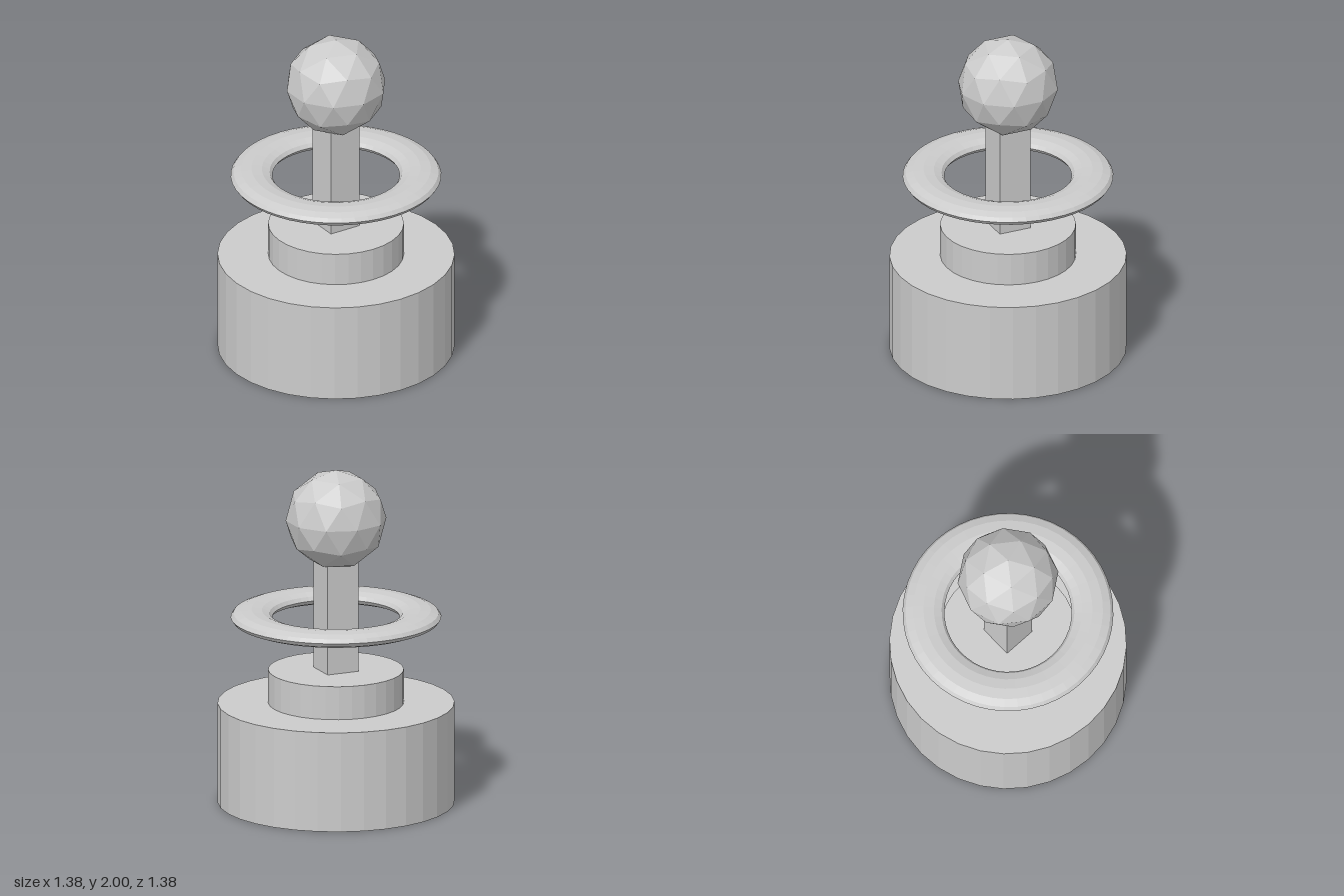
import * as THREE from 'three';

export function createModel() {
  const group = new THREE.Group();
  const material = new THREE.MeshStandardMaterial({ color: 0xcccccc, flatShading: true });

  const add = (name, geometry, y) => {
    const mesh = new THREE.Mesh(geometry, material);
    mesh.name = name;
    mesh.position.y = y;
    group.add(mesh);
    return mesh;
  };

  // Stepped round base
  add('base', new THREE.CylinderGeometry(0.692, 0.692, 0.598, 32), 0.299);
  add('collar', new THREE.CylinderGeometry(0.396, 0.396, 0.2, 32), 0.697);

  // Square post, running from inside the collar up into the ball
  add('post', new THREE.BoxGeometry(0.198, 0.96, 0.198), 1.078);

  // Flattened ring floating around the post
  const ring = new THREE.TorusGeometry(0.493, 0.122, 12, 48);
  ring.rotateX(Math.PI / 2);
  ring.scale(1, 0.377, 1);
  add('ring', ring, 1.115);

  // Faceted ball, turned so that one corner points straight up
  const ball = new THREE.IcosahedronGeometry(0.296, 1);
  ball.rotateZ(-Math.atan(2 / (1 + Math.sqrt(5))));
  add('ball', ball, 1.704);

  return group;
}
